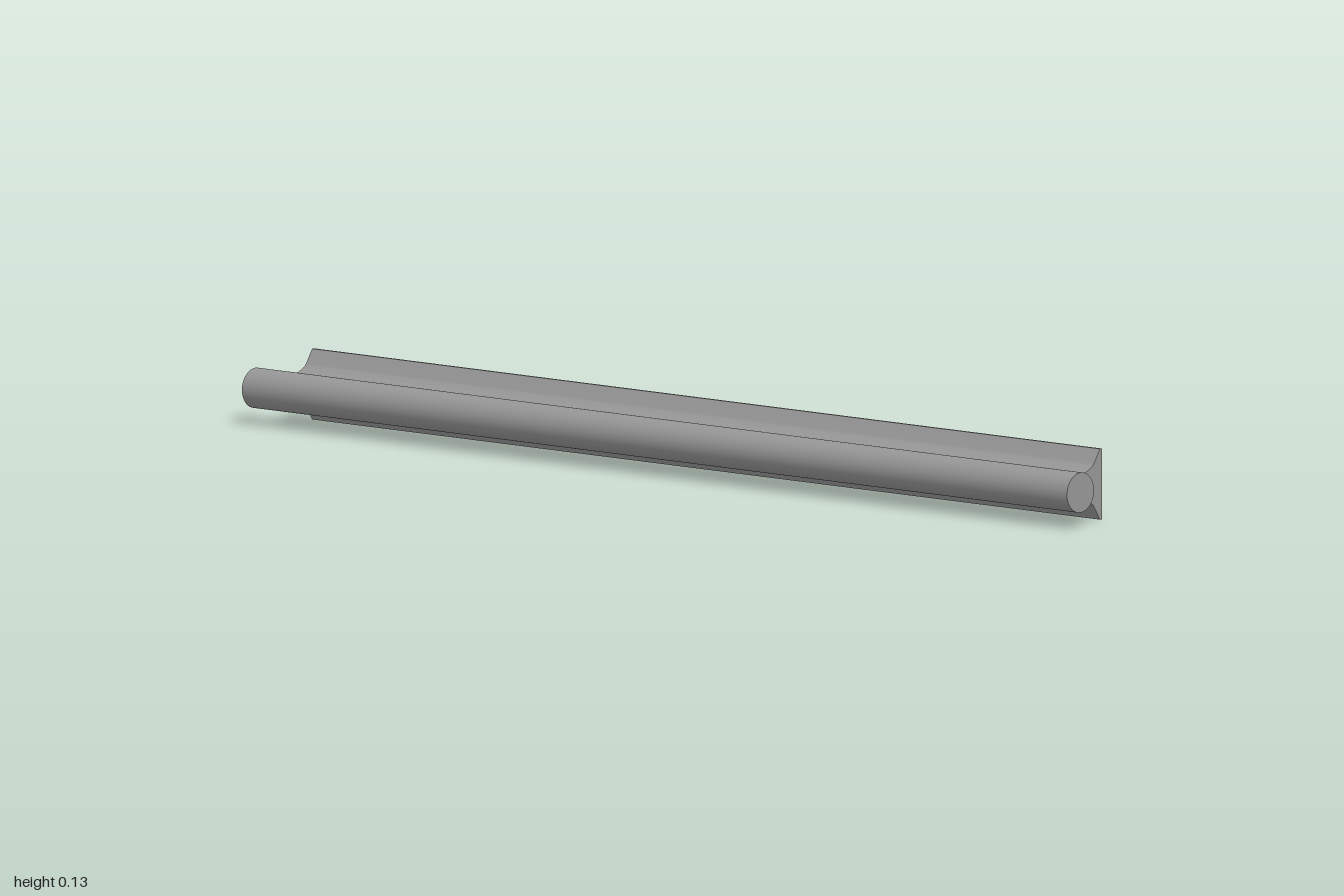
import * as THREE from 'three';
import { toCreasedNormals } from 'three/addons/utils/BufferGeometryUtils.js';

export function createModel() {
  const model = new THREE.Group();
  const metal = new THREE.MeshStandardMaterial({ color: 0x969696 });
  metal.name = 'grey metal';
  const midY = 0.065;

  // Round rod along the front
  const rodGeometry = new THREE.CylinderGeometry(0.0365, 0.0365, 2, 48);
  rodGeometry.rotateZ(Math.PI / 2);
  const rod = new THREE.Mesh(rodGeometry, metal);
  rod.name = 'rod';
  rod.position.set(0, midY, 0.036);
  model.add(rod);

  // Flared rail: half profile as [depth towards the back, half height], mirrored
  const curve = new THREE.SplineCurve([
    [-0.004, 0.0165], [0.008, 0.019], [0.022, 0.0235], [0.036, 0.029], [0.047, 0.035],
  ].map(([d, h]) => new THREE.Vector2(d, h)));
  const upper = [
    ...curve.getPoints(12),
    new THREE.Vector2(0.051, 0.040),
    new THREE.Vector2(0.067, 0.0645),
    new THREE.Vector2(0.0725, 0.0645),
  ];
  const lower = upper.map((p) => new THREE.Vector2(p.x, -p.y)).reverse();
  const railLength = 1.91;
  const railGeometry = new THREE.ExtrudeGeometry(new THREE.Shape([...upper, ...lower]), {
    depth: railLength, bevelEnabled: false,
  });
  railGeometry.translate(0, 0, -railLength / 2);
  railGeometry.rotateY(Math.PI / 2);
  const rail = new THREE.Mesh(toCreasedNormals(railGeometry, 0.4), metal);
  rail.name = 'mountingRail';
  rail.position.y = midY;
  model.add(rail);

  return model;
}
